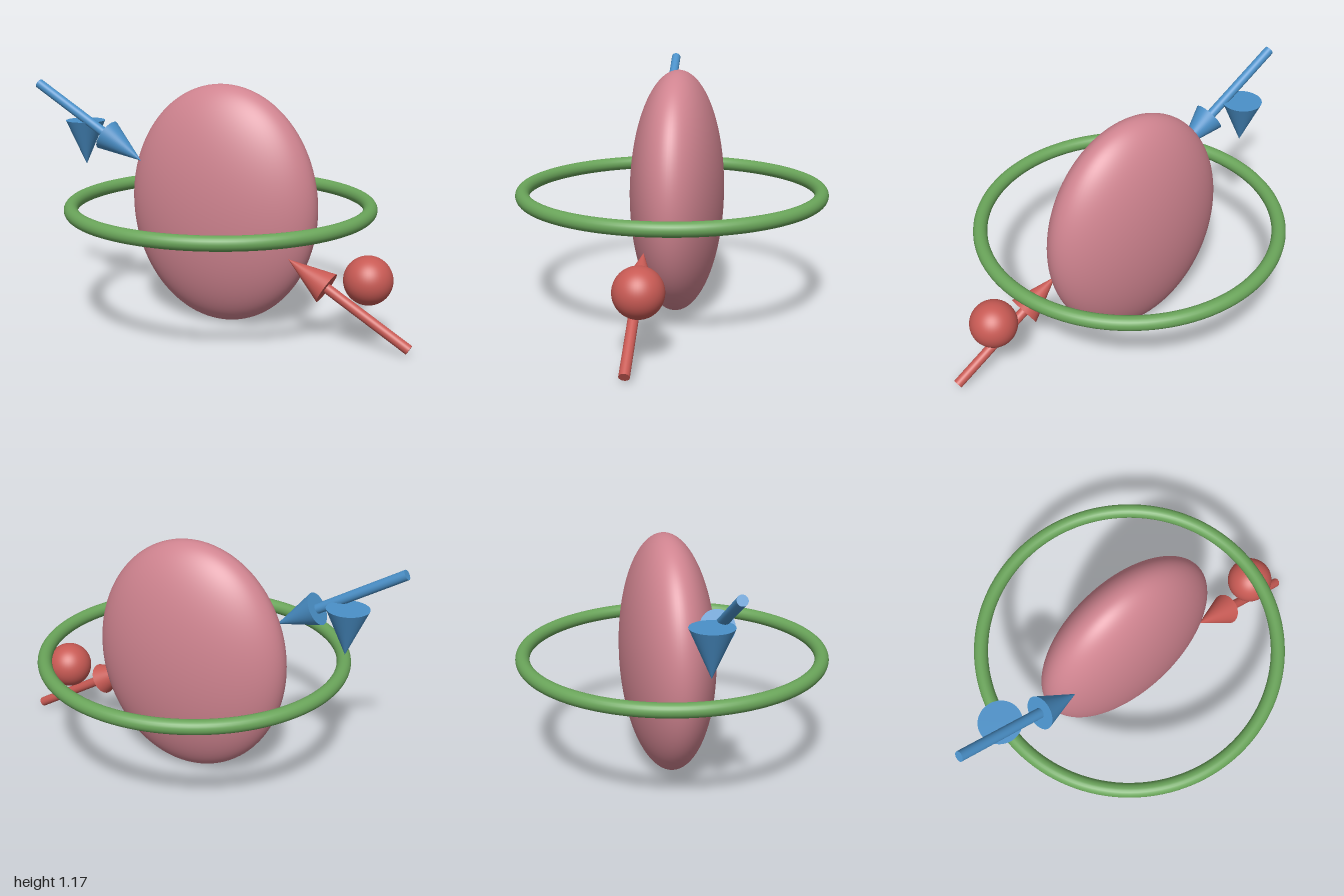
import * as THREE from 'three';

const material = (name, color) => {
  const m = new THREE.MeshStandardMaterial({ color });
  m.name = name;
  return m;
};

// Arrow from tail to tip: a thin shaft and a cone head
function arrow(name, tail, tip, mat) {
  const headLength = 0.225;
  const dir = tip.clone().sub(tail);
  const length = dir.length();
  const group = new THREE.Group();
  group.name = name;
  const shaftLength = length - headLength;
  const shaft = new THREE.Mesh(new THREE.CylinderGeometry(0.024, 0.024, shaftLength, 32), mat);
  shaft.name = name + 'Shaft';
  shaft.position.y = shaftLength / 2;
  const head = new THREE.Mesh(new THREE.ConeGeometry(0.079, headLength, 48), mat);
  head.name = name + 'Head';
  head.position.y = length - headLength / 2;
  group.add(shaft, head);
  group.position.copy(tail);
  group.quaternion.setFromUnitVectors(new THREE.Vector3(0, 1, 0), dir.normalize());
  return group;
}

export function createModel() {
  const model = new THREE.Group();
  model.name = 'ringedEllipsoid';
  const pink = material('pink', 0xd08490);
  const green = material('green', 0x6aa55a);
  const blue = material('blue', 0x4a90c8);
  const red = material('red', 0xc85a54);
  const midY = 0.593;

  const add = (name, geometry, mat, x, y, z) => {
    const mesh = new THREE.Mesh(geometry, mat);
    mesh.name = name;
    mesh.position.set(x, y, z);
    model.add(mesh);
    return mesh;
  };

  // Flattened egg-shaped body
  const body = new THREE.SphereGeometry(1, 80, 56).scale(0.488, 0.587, 0.224);
  add('body', body, pink, 0, midY, -0.028);

  // Horizontal ring around the body
  const ring = new THREE.TorusGeometry(0.722, 0.034, 24, 128).rotateX(Math.PI / 2);
  add('ring', ring, green, 0, midY, 0);

  // Two opposed arrows pointing at the body
  const z = 0.086;
  for (const [name, side, mat] of [['blueArrow', -1, blue], ['redArrow', 1, red]]) {
    const tail = new THREE.Vector3(side * 0.987, midY - side * 0.554, z);
    const tip = new THREE.Vector3(side * 0.394, midY - side * 0.202, z);
    model.add(arrow(name, tail, tip, mat));
  }

  // Markers beside the arrows: a downward cone and a ball
  const cone = new THREE.ConeGeometry(0.099, 0.225, 48).rotateX(Math.PI);
  add('markerCone', cone, blue, -0.753, 0.853, 0.024);
  add('markerBall', new THREE.SphereGeometry(0.114, 48, 32), red, 0.776, 0.331, 0.056);

  return model;
}
